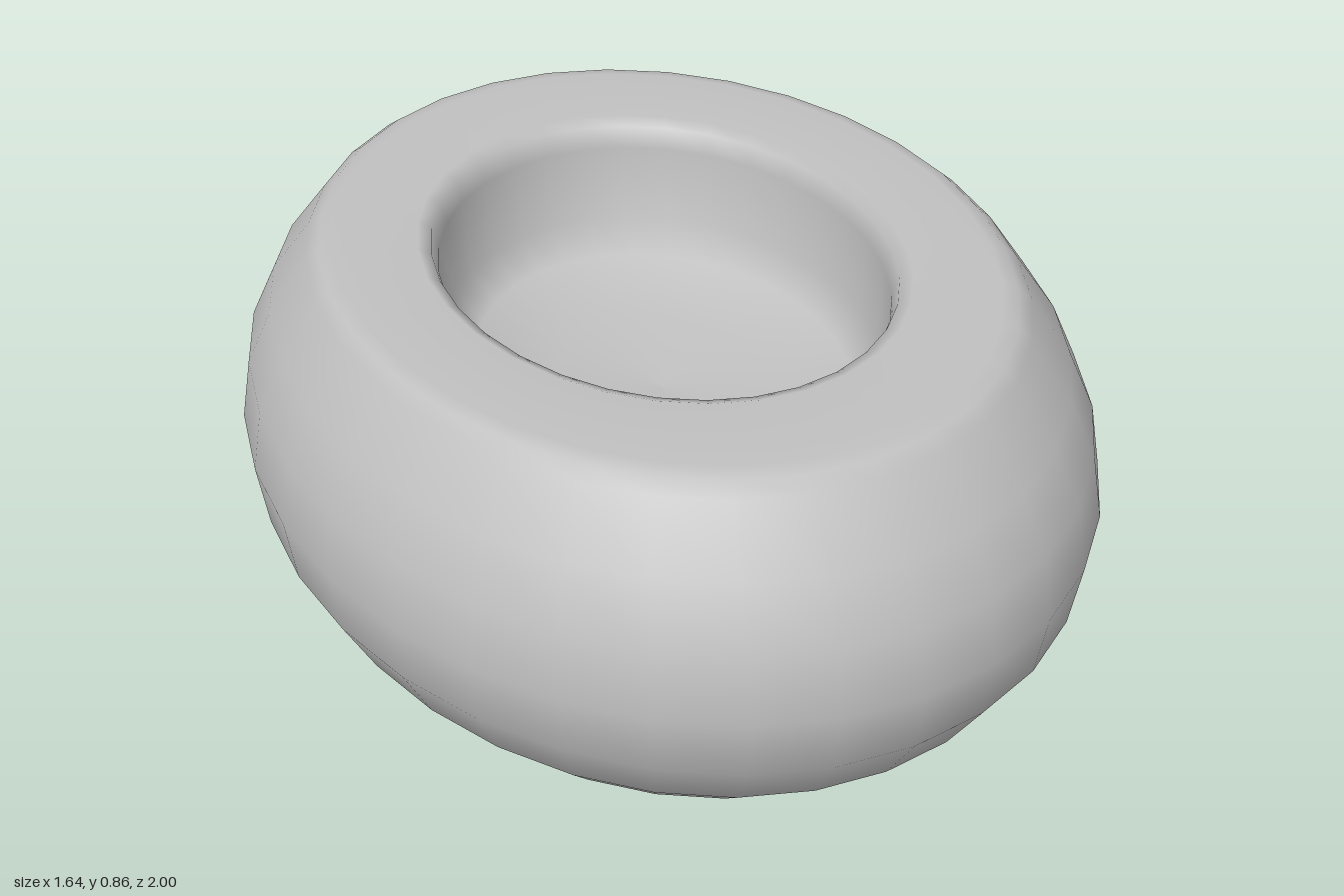
import * as THREE from 'three';

export function createModel() {
  const group = new THREE.Group();
  group.name = 'ovalBowl';
  const grey = new THREE.MeshStandardMaterial({ color: 0xc0c0c0 });
  grey.name = 'plain grey';

  // Half section: base, bulging side, flat rim, then down into the hollow
  const profile = [
    [0, 0], [0.5, 0], [0.77, 0.1], [0.89, 0.21], [0.975, 0.34],
    [1, 0.475], [0.975, 0.605], [0.915, 0.72], [0.82, 0.835],
    [0.79, 0.857], [0.755, 0.864], [0.56, 0.864], [0.53, 0.852],
    [0.515, 0.81], [0.5, 0.65], [0.44, 0.59], [0.25, 0.55], [0, 0.535],
  ].map(([r, y]) => new THREE.Vector2(r, y));

  // Round body squeezed sideways into an oval
  const geometry = new THREE.LatheGeometry(profile, 32);
  geometry.scale(0.82, 1, 1);
  const bowl = new THREE.Mesh(geometry, grey);
  bowl.name = 'bowlBody';
  group.add(bowl);
  return group;
}
